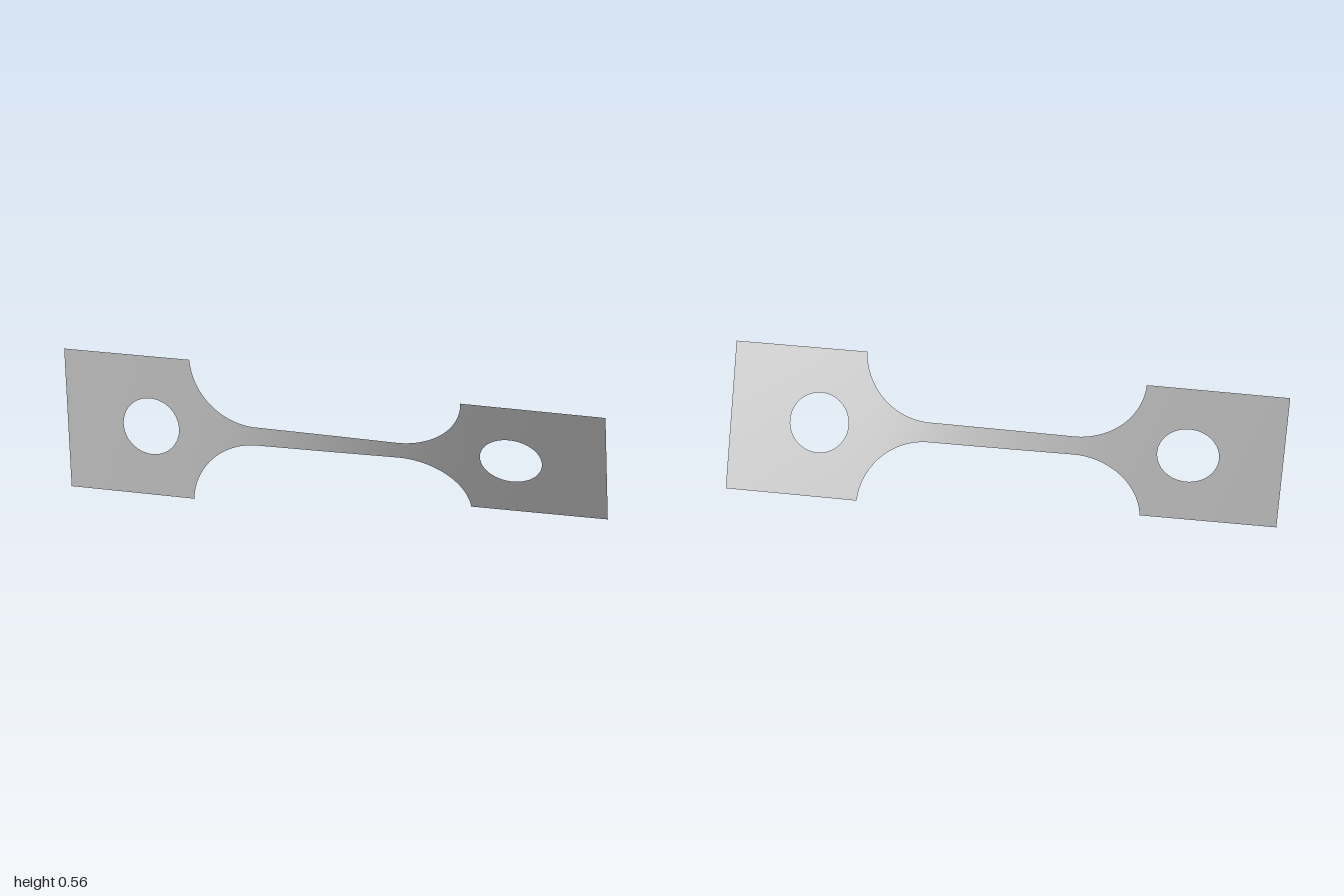
import * as THREE from 'three';
import { ParametricGeometry } from 'three/addons/geometries/ParametricGeometry.js';

const HALF = 0.271;                 // half height of the grips
const NECK_END = 0.51;              // where the fillets meet the grips
const ARC = { x: 0.26, y: 0.286, r: 0.25 }; // fillet circle
const HOLE = { x: 0.668, r: 0.109 };
const TWIST = Math.PI / 6;

// Half width of the strip at x
function halfWidth(x) {
  const a = Math.abs(x);
  if (a >= NECK_END) return HALF;
  const s = Math.max(0, a - ARC.x);
  return ARC.y - Math.sqrt(Math.max(0, ARC.r ** 2 - s * s));
}

// Twist angle along x: narrow parts twist more than wide ones
const STEPS = 800;
const total = [0];
for (let i = 0; i < STEPS; i++) {
  const x = -1 + (2 * (i + 0.5)) / STEPS;
  const rate = Math.abs(x) > NECK_END ? 0.6 / HALF : 1 / halfWidth(x);
  total.push(total[i] + rate);
}
function twistAt(x) {
  const t = THREE.MathUtils.clamp((x + 1) / 2, 0, 1) * STEPS;
  const i = Math.min(STEPS - 1, Math.floor(t));
  return (TWIST * THREE.MathUtils.lerp(total[i], total[i + 1], t - i)) / total[STEPS];
}

// Put a flat point (x, y) on the twisted sheet
function place(x, y, target) {
  const a = twistAt(x);
  target.set(x, HALF + y * Math.cos(a), y * Math.sin(a));
}

export function createModel() {
  const group = new THREE.Group();
  group.name = 'twistedTestStrip';
  const metal = new THREE.MeshStandardMaterial({ color: 0xbcbcbc, side: THREE.DoubleSide });
  metal.name = 'grey metal';

  function addSheet(name, fn, nu, nv) {
    const mesh = new THREE.Mesh(new ParametricGeometry(fn, nu, nv), metal);
    mesh.name = name;
    group.add(mesh);
  }

  // Narrow neck with its four fillets; points crowd toward the steep ends
  addSheet('neck', (u, v, target) => {
    const x = NECK_END * Math.sin((u - 0.5) * Math.PI);
    const w = u <= 0 || u >= 1 ? HALF : halfWidth(x);
    place(x, (2 * v - 1) * w, target);
  }, 160, 8);

  // Square grips: rings from the outer rectangle in to the round hole
  const addGrip = (name, side) => {
    const x0 = side > 0 ? NECK_END : -1;
    const x1 = side > 0 ? 1 : -NECK_END;
    const corners = [[x1, -HALF], [x1, HALF], [x0, HALF], [x0, -HALF]];
    const cx = side * HOLE.x;
    addSheet(name, (u, v, target) => {
      const t = (u % 1) * 4;
      const k = Math.floor(t);
      const a = corners[k], b = corners[(k + 1) % 4];
      const ox = THREE.MathUtils.lerp(a[0], b[0], t - k);
      const oy = THREE.MathUtils.lerp(a[1], b[1], t - k);
      const angle = Math.atan2(oy, ox - cx);
      const hx = cx + HOLE.r * Math.cos(angle);
      const hy = HOLE.r * Math.sin(angle);
      place(THREE.MathUtils.lerp(ox, hx, v), THREE.MathUtils.lerp(oy, hy, v), target);
    }, 64, 6);
  };
  addGrip('leftGrip', 1);
  addGrip('rightGrip', -1);

  return group;
}
